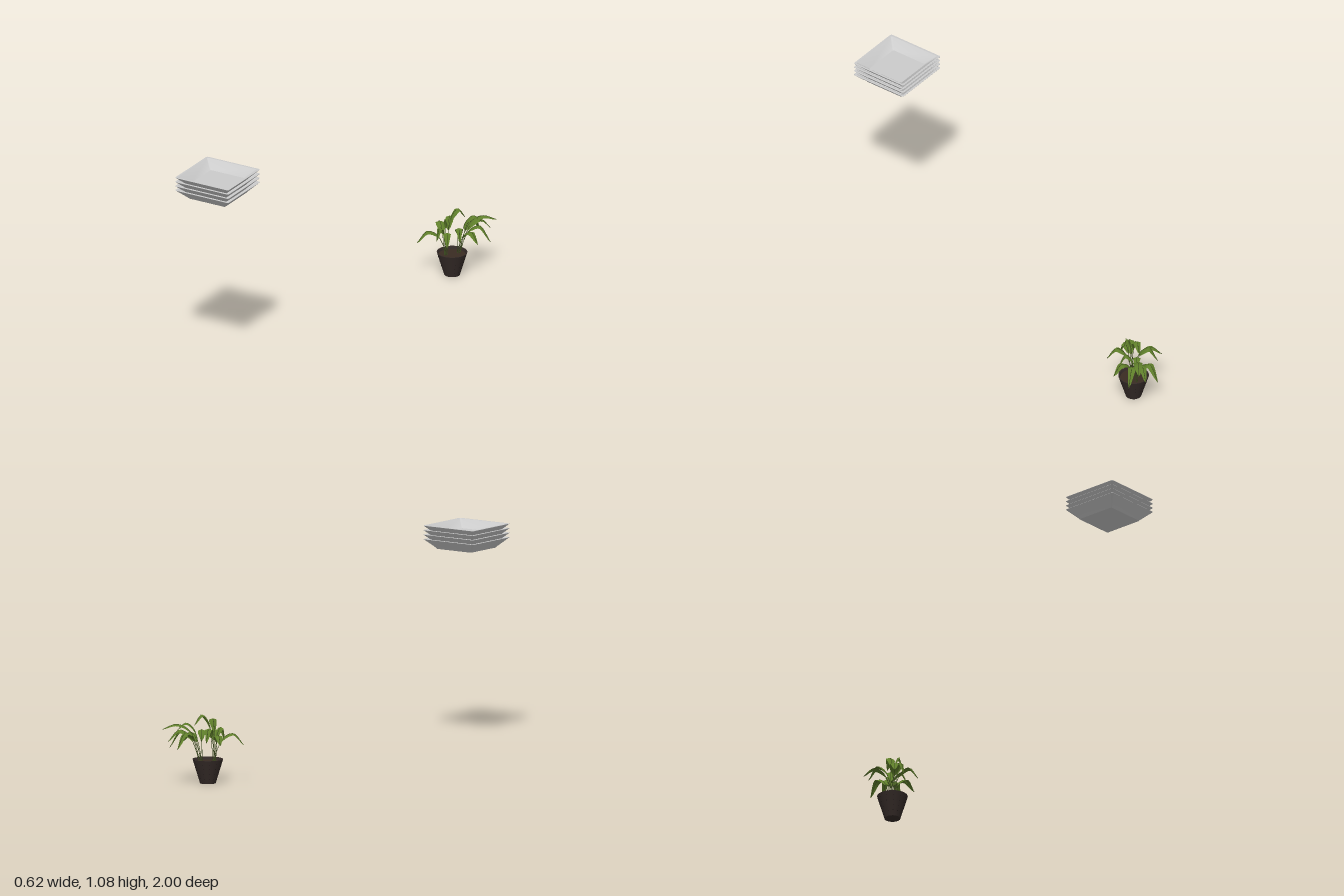
import * as THREE from 'three';
import { toCreasedNormals } from 'three/addons/utils/BufferGeometryUtils.js';

const V = (x, y, z) => new THREE.Vector3(x, y, z);

// Square ring with rounded corners, counted around the y axis
function squareRing(half, y, r, seg = 4) {
  const pts = [];
  for (let c = 0; c < 4; c++) {
    const mid = Math.PI / 4 + c * Math.PI / 2;
    const cx = Math.sign(Math.cos(mid)) * (half - r), cz = Math.sign(Math.sin(mid)) * (half - r);
    for (let i = 0; i <= seg; i++) {
      const a = (c + i / seg) * Math.PI / 2;
      pts.push([cx + Math.cos(a) * r, y, cz + Math.sin(a) * r]);
    }
  }
  return pts;
}

// Skin over a list of rings or strips with equal point counts
function loft(rows, closed) {
  const n = rows[0].length, idx = [];
  for (let i = 0; i < rows.length - 1; i++) {
    for (let j = 0; j < (closed ? n : n - 1); j++) {
      const k = (j + 1) % n, a = i * n, b = a + n;
      idx.push(a + j, b + j, a + k, b + j, b + k, a + k);
    }
  }
  const g = new THREE.BufferGeometry();
  g.setAttribute('position', new THREE.Float32BufferAttribute(rows.flat(2), 3));
  g.setIndex(idx);
  g.computeVertexNormals();
  return g;
}

// Thin-walled square tray: underside, outer wall, rim, inner wall, floor
function trayGeometry() {
  const profile = [
    [0.001, 0, 0.0005], [0.102, 0, 0.006], [0.107, 0.006, 0.008], [0.15, 0.048, 0.01], [0.15, 0.049, 0.01],
    [0.14, 0.049, 0.008], [0.137, 0.046, 0.008], [0.096, 0.010, 0.006], [0.001, 0.010, 0.0005],
  ];
  return toCreasedNormals(loft(profile.map(p => squareRing(...p)), true), 0.5);
}

// Folded leaf blade following the outer part of its stalk curve
function bladeGeometry(curve, start, width, side) {
  const rows = [], N = 14;
  for (let i = 0; i <= N; i++) {
    const s = i / N, t = start + (1 - start) * s;
    const p = curve.getPoint(t), tan = curve.getTangent(t);
    const up = side.clone().cross(tan).normalize();
    const w = width * 0.5 * Math.pow(Math.sin(Math.PI * Math.pow(s, 0.85)), 0.75) + 0.0004;
    rows.push([-1, -0.5, 0, 0.5, 1].map(u =>
      p.clone().addScaledVector(side, u * w).addScaledVector(up, w * 0.35 * Math.abs(u)).toArray()));
  }
  return loft(rows, false);
}

function createPlant() {
  const plant = new THREE.Group();
  plant.name = 'pottedPlant';
  const C = V(0.153, 0, -0.813);
  const potMat = new THREE.MeshStandardMaterial({ color: 0x352b28 });
  const holeMat = new THREE.MeshStandardMaterial({ color: 0x14100f });
  const soilMat = new THREE.MeshStandardMaterial({ color: 0x3a2c22 });
  const leafMat = new THREE.MeshStandardMaterial({ color: 0x5f7f2a, side: THREE.DoubleSide });
  const stalkMat = new THREE.MeshStandardMaterial({ color: 0x3c4a20 });

  // Tapered pot with a thin lip
  const profile = [[0, 0], [0.038, 0], [0.074, 0.117], [0.069, 0.117], [0.062, 0.095]]
    .map(p => new THREE.Vector2(...p));
  const pot = new THREE.Mesh(toCreasedNormals(new THREE.LatheGeometry(profile, 24), 0.5), potMat);
  pot.name = 'pot';
  pot.position.copy(C);
  plant.add(pot);

  // Small dark pits in rows around the pot wall
  const pits = new THREE.Group();
  pits.name = 'potPits';
  const pitGeo = new THREE.CircleGeometry(0.0016, 6);
  for (let row = 0; row < 4; row++) {
    for (let k = 0; k < 12; k++) {
      const y = 0.025 + row * 0.024, r = 0.0383 + 0.036 * y / 0.117, a = (k + 0.5) * Math.PI / 6;
      const pit = new THREE.Mesh(pitGeo, holeMat);
      pit.position.set(C.x + Math.sin(a) * r, y, C.z + Math.cos(a) * r);
      pit.rotation.set(0.3, a, 0, 'YXZ');
      pits.add(pit);
    }
  }
  plant.add(pits);

  const soil = new THREE.Mesh(new THREE.CircleGeometry(0.0655, 24), soilMat);
  soil.name = 'soil';
  soil.rotation.x = -Math.PI / 2;
  soil.position.set(C.x, 0.104, C.z);
  plant.add(soil);

  // Leaves per clump: tip x, y, z, arch height, blade width
  const clumps = [
    { base: [0.132, -0.79], leaves: [
      [0.03, 0.18, -0.69, 0.238, 0.046], [0.025, 0.2, -0.885, 0.245, 0.042],
      [0.2, 0.19, -0.69, 0.25, 0.04], [0.125, 0.2, -0.715, 0.265, 0.036],
      [0.168, 0.27, -0.765, 0.31, 0.038], [0.09, 0.21, -0.91, 0.275, 0.038],
      [0.187, 0.285, -0.875, 0.335, 0.042],
    ] },
    { base: [0.17, -0.845], leaves: [
      [0.2, 0.18, -0.995, 0.255, 0.044], [0.31, 0.265, -0.965, 0.29, 0.044],
      [0.312, 0.17, -0.905, 0.25, 0.042], [0.302, 0.19, -0.805, 0.24, 0.044],
      [0.22, 0.19, -0.775, 0.255, 0.036], [0.27, 0.21, -0.975, 0.265, 0.04],
      [0.26, 0.26, -0.915, 0.295, 0.04],
    ] },
  ];
  for (const { base, leaves } of clumps) {
    leaves.forEach(([x, y, z, top, width], i) => {
      const a = i * 2.4;
      const root = V(base[0] + 0.007 * Math.cos(a), 0.1, base[1] + 0.007 * Math.sin(a));
      const tip = V(x, y, z);
      const at = (f, h) => root.clone().lerp(tip, f).setY(h);
      const rise = top - 0.1;
      const curve = new THREE.CatmullRomCurve3(
        [root, at(0.16, 0.1 + rise * 0.5), at(0.36, 0.1 + rise * 0.87), at(0.66, top), tip]);
      const side = V(tip.z - root.z, 0, root.x - tip.x).normalize();

      const leaf = new THREE.Group();
      leaf.name = 'leaf';
      const stalk = new THREE.Mesh(new THREE.TubeGeometry(curve, 16, 0.0014, 5), stalkMat);
      stalk.name = 'stalk';
      const blade = new THREE.Mesh(bladeGeometry(curve, 0.36, width, side), leafMat);
      blade.name = 'blade';
      leaf.add(stalk, blade);
      plant.add(leaf);
    });
  }
  return plant;
}

export function createModel() {
  const model = new THREE.Group();
  model.name = 'traysAndPlant';

  // Four nested trays
  const stack = new THREE.Group();
  stack.name = 'trayStack';
  const grey = new THREE.MeshStandardMaterial({ color: 0xcccccc });
  const geo = trayGeometry();
  for (let i = 0; i < 4; i++) {
    const tray = new THREE.Mesh(geo, grey);
    tray.name = 'tray';
    tray.position.set(-0.161, 0.96 + i * 0.022, 0.85);
    stack.add(tray);
  }
  model.add(stack, createPlant());
  return model;
}
